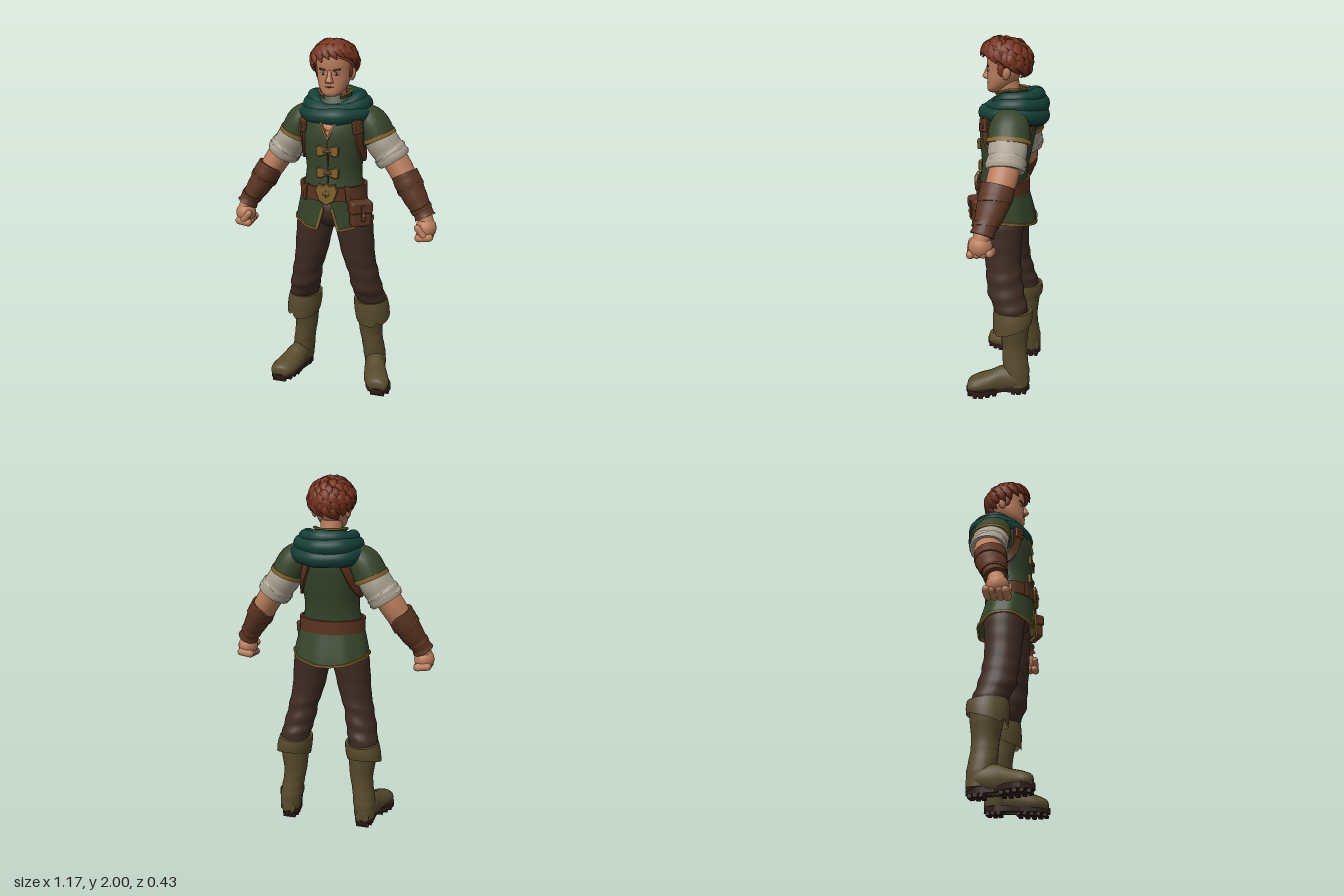
import * as THREE from 'three';
import { toCreasedNormals, mergeGeometries } from 'three/addons/utils/BufferGeometryUtils.js';
import { RoundedBoxGeometry } from 'three/addons/geometries/RoundedBoxGeometry.js';

const V = (x, y, z) => new THREE.Vector3(x, y, z);
const { sin, cos, PI, max, min, sign, round } = Math;
const mat = (name, color, side = THREE.FrontSide) => new THREE.MeshStandardMaterial({ name, color, side });

// Smooth interpolation through rows of numbers
function interp(ts, rows) {
  const c = new THREE.CubicInterpolant(new Float32Array(ts), new Float32Array(rows.flat()), rows[0].length);
  return t => Array.from(c.evaluate(min(max(t, ts[0]), ts[ts.length - 1])));
}

// Surface from a rule; u wraps round when closed
function grid(nu, nv, fn, closed = true, crease = 0.9) {
  const pos = [], idx = [], cols = closed ? nu : nu + 1;
  for (let j = 0; j <= nv; j++) for (let i = 0; i < cols; i++) pos.push(...fn(i / nu, j / nv).toArray());
  for (let j = 0; j < nv; j++) for (let i = 0; i < nu; i++) {
    const a = j * cols + i, b = j * cols + (i + 1) % cols;
    idx.push(a, b, b + cols, a, b + cols, a + cols);
  }
  const g = new THREE.BufferGeometry();
  g.setAttribute('position', new THREE.Float32BufferAttribute(pos, 3));
  g.setIndex(idx);
  return toCreasedNormals(g, crease);
}

// Loft through sections [x, y, z, rx, rz]; level keeps the rings horizontal
function loft(secs, { seg = 22, steps = 4, level = false, ref = V(0, 0, 1), ripple } = {}) {
  const last = secs.length - 1, n = last * steps, at = interp(secs.map((_, i) => i), secs);
  return grid(seg, n + 2, (u, v) => {
    const j = round(v * (n + 2)) - 1, t = min(max(j, 0), n) / steps, a = u * 2 * PI;
    const [x, y, z, rx, rz] = at(t);
    let k = j < 0 || j > n ? 0 : 1;
    if (ripple) k *= 1 + ripple(a, t);
    const T = level ? V(0, 1, 0) : V(...at(t + 0.1)).sub(V(...at(t - 0.1))).normalize();
    const W = ref.clone().addScaledVector(T, -T.dot(ref)).normalize();
    const N = T.clone().cross(W);
    return V(x, y, z).addScaledVector(N, k * rx * sin(a)).addScaledVector(W, k * rz * cos(a));
  });
}

// Flat strap along points [position, facing angle]
function ribbon(pts, w, t) {
  return grid(4, pts.length - 1, (u, v) => {
    const i = round(v * (pts.length - 1)), a = u * 2 * PI + PI / 4, [p, f] = pts[i];
    const T = pts[min(i + 1, pts.length - 1)][0].clone().sub(pts[max(i - 1, 0)][0]).normalize();
    const W = V(sin(f), 0, cos(f));
    W.addScaledVector(T, -T.dot(W)).normalize();
    return p.clone().addScaledVector(T.cross(W), sign(sin(a)) * w / 2).addScaledVector(W, sign(cos(a)) * t / 2);
  });
}

function mirror(geo) {
  const g = geo.index ? geo.toNonIndexed() : geo.clone();
  g.deleteAttribute('uv');
  g.scale(-1, 1, 1);
  for (const k of ['position', 'normal']) {
    const s = g.attributes[k].array;
    for (let i = 0; i < s.length; i += 9) for (let c = 3; c < 6; c++) [s[i + c], s[i + c + 3]] = [s[i + c + 3], s[i + c]];
  }
  return g;
}
const put = (g, x, y, z, rx = 0, ry = 0, rz = 0) => g.rotateZ(rz).rotateX(rx).rotateY(ry).translate(x, y, z);
const ball = (rx, ry, rz) => new THREE.SphereGeometry(1, 18, 12).scale(rx, ry, rz);
const box = (w, h, d, r = 0.006) => new RoundedBoxGeometry(w, h, d, 2, r);
function plate(points, depth) {
  const s = new THREE.Shape(points.map(p => new THREE.Vector2(...p)));
  return new THREE.ExtrudeGeometry(s, { depth, bevelEnabled: true, bevelSize: 0.004, bevelThickness: 0.004, bevelSegments: 1 });
}

// Torso shape: half width, half depth, centre z by height
const bodyY = [0.94, 1.02, 1.1, 1.18, 1.3, 1.42, 1.52, 1.6, 1.66, 1.71];
const bodyAt = interp(bodyY, [[0.228, 0.165, 0.015], [0.212, 0.153, 0.02], [0.195, 0.142, 0.03], [0.175, 0.133, 0.04],
  [0.156, 0.13, 0.03], [0.173, 0.145, 0.02], [0.188, 0.153, 0.012], [0.185, 0.138, 0], [0.135, 0.105, -0.01], [0.07, 0.07, -0.01]]);
function body(a, y, off = 0) {
  const [rx, rz, z] = bodyAt(y);
  return V((rx + off) * sin(a), y, z + (rz + off) * cos(a));
}
const onBody = (rows, off, n = 28) => {
  const at = interp(rows.map((_, i) => i), rows);
  return Array.from({ length: n + 1 }, (_, i) => { const [a, y] = at(i / n * (rows.length - 1)); return [body(a, y, off), a]; });
};

export function createModel() {
  const root = new THREE.Group();
  root.name = 'adventurer';
  const hair = mat('auburn hair', 0x76331e, THREE.DoubleSide), skin = mat('skin', 0xb97c5c), green = mat('green cloth', 0x36442a, THREE.DoubleSide);
  const teal = mat('teal cowl', 0x143f37), gold = mat('old gold', 0x80602a), leather = mat('brown leather', 0x5a3320);
  const pants = mat('dark trousers', 0x3e2a22), boot = mat('olive boot', 0x574a2c, THREE.DoubleSide);
  const linen = mat('linen', 0xaaa191), dark = mat('dark sole', 0x2e1d18);
  const add = (name, geo, m) => { const o = new THREE.Mesh(geo, m); o.name = name; root.add(o); };
  const pair = (name, geo, m) => { add(name + 'Left', geo, m); add(name + 'Right', mirror(geo), m); };

  // Head and face
  add('head', loft([[0, 1.703, 0.092, 0.025, 0.022], [0, 1.715, 0.082, 0.048, 0.043], [0, 1.74, 0.06, 0.07, 0.066], [0, 1.78, 0.04, 0.086, 0.086],
    [0, 1.83, 0.03, 0.092, 0.095], [0, 1.88, 0.03, 0.095, 0.098], [0, 1.93, 0.03, 0.085, 0.09], [0, 1.97, 0.03, 0.05, 0.055]], { level: true, seg: 28 }), skin);
  add('neck', loft([[0, 1.58, -0.015, 0.07, 0.065], [0, 1.67, 0, 0.06, 0.06], [0, 1.77, 0.015, 0.062, 0.06]], { level: true }), skin);
  add('nose', loft([[0, 1.774, 0.122, 0.02, 0.016], [0, 1.785, 0.126, 0.021, 0.029], [0, 1.81, 0.122, 0.013, 0.022], [0, 1.842, 0.116, 0.01, 0.013]], { level: true, seg: 12 }), skin);
  add('mouth', box(0.046, 0.006, 0.008, 0.002).translate(0, 1.754, 0.123), leather);
  pair('ear', put(ball(0.014, 0.034, 0.022), 0.096, 1.812, 0.005, -0.2, 0, -0.15), skin);
  pair('eye', put(ball(0.016, 0.008, 0.006), 0.037, 1.823, 0.115, 0, 0.3), linen);
  pair('iris', put(ball(0.0065, 0.0075, 0.003), 0.036, 1.823, 0.12), dark);
  pair('eyebrow', put(box(0.042, 0.01, 0.01, 0.004), 0.04, 1.844, 0.117, 0, 0.35, 0.18), hair);

  // Hair: scalp shell and swept locks
  const edge = p => 1.8 - cos(p) * (cos(p) > 0 ? 0.6 : 0.5);
  const scalp = (th, p, k = 1) => V(0.108 * k * sin(th) * sin(p), 1.87 + 0.108 * k * cos(th), 0.02 + 0.118 * k * sin(th) * cos(p));
  add('scalpHair', grid(32, 12, (u, v) => scalp(edge(u * 2 * PI) * (1 - v), u * 2 * PI)), hair);
  const locks = [];
  for (let i = 0; i < 96; i++) {
    const p = i * 2.39996, front = max(0, cos(p)), j = ((i * 37) % 11) / 11;
    const th = (edge(p) - 0.42) * Math.sqrt((i + 0.5) / 96), lift = 0.06 + 0.07 * j + 0.15 * front * min(1, th), sw = 0.3 + 0.35 * j;
    const pt = (d, k, s) => scalp(th + d, p + s * sw, k).toArray();
    locks.push(loft([[...pt(-0.15, 0.96, 0), 0.016, 0.01], [...pt(0.12, 1 + lift, 0.25), 0.026, 0.016],
      [...pt(0.36, 1.02 + lift, 0.6), 0.021, 0.013], [...pt(0.6, 1.0 + lift * 1.25, 1), 0.003, 0.003]], { seg: 7, steps: 3, ref: V(sin(p) * sin(th), cos(th), cos(p) * sin(th)).normalize() }));
  }
  add('hairLocks', mergeGeometries(locks), hair);
  pair('sideburn', put(ball(0.012, 0.038, 0.02), 0.09, 1.835, 0.035), hair);

  // Collar
  const collar = (u, v) => { const a = 0.55 + u * (2 * PI - 1.1), r = 0.074 + 0.016 * v; return V(r * sin(a), 1.63 + v * (0.1 - 0.03 * max(0, cos(a))), r * cos(a) - 0.005); };
  add('collar', grid(28, 3, collar, false), green);
  add('collarTrim', new THREE.TubeGeometry(new THREE.CatmullRomCurve3(Array.from({ length: 20 }, (_, i) => collar(i / 19, 1))), 48, 0.006, 6), gold);

  // Draped cowl, three overlapping folds
  const fold = (rx, rz, zc, y, dip, back, r) => grid(56, 14, (u, v) => {
    const a = u * 2 * PI, b = v * 2 * PI, f = max(0, cos(a)), k = max(0, -cos(a));
    const rr = r * (1 + 0.12 * k + 0.07 * sin(3 * a + y * 40) + 0.05 * sin(7 * a));
    return V((rx + rr * cos(b)) * sin(a), y - dip * f * f - back * k * k + rr * sin(b), zc + (rz + rr * cos(b)) * cos(a));
  });
  add('cowlLower', fold(0.168, 0.148, -0.022, 1.603, 0.006, 0.02, 0.044), teal);
  add('cowlMiddle', fold(0.15, 0.132, -0.034, 1.65, 0.03, 0.005, 0.043), teal);
  add('cowlUpper', fold(0.13, 0.113, -0.036, 1.688, 0.06, -0.005, 0.036), teal);

  // Tunic body and skirt with a front slit
  add('tunicBody', grid(36, 26, (u, v) => body(u * 2 * PI, 1.13 + 0.58 * v)), green);
  const skirt = (u, v) => {
    const s = 0.02 + 0.26 * (1 - v), a = s + u * 2 * (PI - s), hem = 0.995 - 0.022 * cos(2 * a);
    return [body(a, hem + (1.2 - hem) * v, 0.006 + 0.004 * sin(9 * a) * (1 - v)), a];
  };
  add('tunicSkirt', grid(60, 8, (u, v) => skirt(u, v)[0], false), green);
  const rim = [];
  for (let i = 6; i > 0; i--) rim.push(skirt(0, 0.1 * i));
  for (let i = 0; i <= 60; i++) rim.push(skirt(i / 60, 0.03));
  for (let i = 1; i < 7; i++) rim.push(skirt(1, 0.1 * i));
  add('skirtTrim', ribbon(rim, 0.014, 0.012), gold);
  add('frontSeam', ribbon(onBody([[0, 1.23], [0, 1.35], [0, 1.5]], 0.001), 0.008, 0.006), dark);
  add('neckOpening', grid(4, 6, (u, v) => body((u - 0.5) * 0.5 * v, 1.49 + 0.1 * v, 0.003), false), skin);
  for (const s of [-1, 1]) add('neckTrim', ribbon(onBody([[0, 1.485], [s * 0.12, 1.535], [s * 0.25, 1.59]], 0.005, 8), 0.012, 0.01), gold);
  add('neckLace', ribbon(onBody([[-0.12, 1.545], [0, 1.53], [0.12, 1.545]], 0.006, 8), 0.007, 0.006), gold);

  // Front clasps
  const bow = [[-0.06, 0.02], [-0.045, 0.028], [0, 0.01], [0.045, 0.028], [0.06, 0.02], [0.056, -0.022], [0.04, -0.025], [0, -0.01], [-0.04, -0.025], [-0.056, -0.022]];
  for (const y of [1.42, 1.3]) {
    add('clasp', put(plate(bow, 0.014), 0, y, body(0, y).z - 0.007), gold);
    add('claspToggle', put(new THREE.CapsuleGeometry(0.008, 0.03, 4, 8), 0, y, body(0, y).z + 0.012, 0, 0, PI / 2), leather);
  }

  // Belt, buckle and pouch
  add('belt', ribbon(onBody([[-PI, 1.19], [-PI / 2, 1.19], [0, 1.185], [PI / 2, 1.19], [PI, 1.19]], 0.008, 56), 0.075, 0.016), leather);
  for (const a of [-0.75, 0.62]) add('beltLoop', ribbon(onBody([[a, 1.14], [a, 1.19], [a, 1.235]], 0.017, 4), 0.024, 0.012), leather);
  add('buckle', plate([[-0.06, 0.02], [-0.045, 0.05], [-0.015, 0.042], [0, 0.056], [0.015, 0.042], [0.045, 0.05], [0.06, 0.02], [0.04, -0.035], [0, -0.06], [-0.04, -0.035]], 0.014).translate(0, 1.19, 0.178), gold);
  add('buckleBoss', put(new THREE.OctahedronGeometry(0.022).scale(1, 1, 0.5), 0, 1.19, 0.197), gold);
  add('pouch', put(box(0.115, 0.125, 0.07, 0.02), 0.18, 1.075, 0.148, 0, 0.6), leather);
  add('pouchFlap', put(box(0.125, 0.07, 0.08, 0.016), 0.18, 1.122, 0.15, 0, 0.6), leather);
  add('pouchStrap', put(box(0.024, 0.09, 0.01, 0.004), 0.205, 1.095, 0.184, 0, 0.6), leather);
  add('pouchStud', put(ball(0.01, 0.01, 0.006), 0.21, 1.085, 0.19, 0, 0.6), gold);

  // Harness straps round each armhole
  pair('harness', ribbon(onBody([[0.75, 1.64], [0.9, 1.55], [1.05, 1.45], [1.5, 1.37], [2.1, 1.41], [2.5, 1.51], [2.75, 1.62]], 0.006), 0.042, 0.014), leather);
  pair('harnessPatch', put(box(0.056, 0.07, 0.022), 0.152, 1.548, 0.118, -0.1, 0.75, 0.1), leather);
  pair('harnessBuckle', put(new THREE.TorusGeometry(0.02, 0.005, 6, 4), 0.16, 1.548, 0.127, -0.1, 0.75, PI / 4 + 0.1), gold);

  // Arms
  pair('shoulderCap', loft([[0.12, 1.625, -0.02, 0.04, 0.07], [0.19, 1.56, -0.03, 0.085, 0.105], [0.238, 1.47, -0.033, 0.094, 0.115]]), green);
  pair('shoulderTrim', loft([[0.229, 1.489, -0.033, 0.097, 0.118], [0.238, 1.468, -0.033, 0.099, 0.12]], { seg: 28 }), gold);
  pair('sleeve', loft([[0.19, 1.55, -0.03, 0.08, 0.09], [0.255, 1.45, -0.033, 0.09, 0.104], [0.29, 1.4, -0.033, 0.088, 0.098], [0.296, 1.392, -0.033, 0.097, 0.107],
    [0.307, 1.376, -0.033, 0.094, 0.103], [0.313, 1.367, -0.032, 0.098, 0.107], [0.325, 1.348, -0.032, 0.09, 0.1]], { ripple: (a, t) => 0.015 * sin(5 * a + t * 2) }), linen);
  pair('forearm', loft([[0.29, 1.41, -0.033, 0.07, 0.08], [0.36, 1.31, -0.022, 0.07, 0.08], [0.44, 1.18, 0.01, 0.06, 0.07], [0.52, 1.06, 0.05, 0.04, 0.045], [0.53, 1.02, 0.058, 0.042, 0.048]]), skin);
  pair('bracer', loft([[0.387, 1.285, -0.008, 0.072, 0.088], [0.41, 1.24, 0, 0.076, 0.09], [0.46, 1.155, 0.022, 0.065, 0.076], [0.505, 1.088, 0.043, 0.054, 0.06], [0.52, 1.06, 0.05, 0.06, 0.064]],
    { ripple: (a, t) => 0.015 * sin(t * 7) }), leather);
  for (const [x, y, z, r] of [[0.425, 1.213, 0.006, 0.078], [0.492, 1.108, 0.038, 0.06]])
    pair('bracerBand', loft([[x - 0.006, y + 0.01, z, r, r + 0.01], [x + 0.006, y - 0.01, z, r, r + 0.01]]), leather);

  // Fists
  pair('palm', put(ball(0.057, 0.06, 0.062), 0.527, 1.005, 0.058), skin);
  for (let i = 0; i < 4; i++) pair('finger', put(new THREE.CapsuleGeometry(0.023, 0.055, 4, 10), 0.524, 0.961 + 0.004 * i, 0.105 - 0.033 * i, 0, 0, PI / 2 + 0.15), skin);
  pair('thumb', put(new THREE.CapsuleGeometry(0.02, 0.05, 4, 10), 0.505, 0.995, 0.11, 0, 0, 0.7), skin);

  // Trousers
  add('trouserSeat', put(ball(0.19, 0.115, 0.128), 0, 1.075, 0.025), pants);
  pair('trouserLeg', loft([[0.21, 0.44, -0.05, 0.075, 0.085], [0.203, 0.52, -0.038, 0.085, 0.095], [0.185, 0.6, -0.008, 0.088, 0.104], [0.165, 0.7, 0.008, 0.086, 0.1],
    [0.14, 0.8, 0.018, 0.094, 0.102], [0.125, 0.9, 0.02, 0.102, 0.108], [0.11, 1, 0.02, 0.107, 0.114], [0.1, 1.1, 0.03, 0.085, 0.1]],
  { level: true, steps: 8, ripple: (a, t) => (t < 3.5 ? 0.028 : 0.008) * sin(t * 6.5 + 1.6 * sin(a + 0.6)) }), pants);

  // Boots
  pair('bootShaft', loft([[0.23, 0.05, -0.085, 0.06, 0.066], [0.224, 0.14, -0.075, 0.066, 0.075], [0.213, 0.22, -0.065, 0.064, 0.073], [0.202, 0.3, -0.06, 0.068, 0.073],
    [0.204, 0.4, -0.055, 0.08, 0.088], [0.2, 0.49, -0.05, 0.088, 0.1]], { level: true, ripple: (a, t) => (t < 2.6 ? 0.018 * sin(t * 8 + sin(a)) : 0) }), boot);
  pair('bootCuff', grid(40, 8, (u, v) => {
    const a = u * 2 * PI, notch = max(0, 1 - Math.abs(a - 0.5) * 5), low = 0.398 - 0.036 * cos(a) + 0.03 * notch;
    const k = v > 0.95 ? 0.84 : 1 + 0.05 * sin(v * PI);
    return V(0.215 - 0.018 * v + k * (0.1 - 0.006 * v) * sin(a), v > 0.95 ? 0.508 : low + (0.508 - low) * v / 0.875, -0.05 + k * 0.108 * cos(a));
  }), boot);
  pair('bootFoot', loft([[0.225, -0.145, -0.07, 0.04, 0.04], [0.232, -0.09, -0.09, 0.06, 0.065], [0.245, 0, -0.088, 0.062, 0.078], [0.265, 0.07, -0.075, 0.07, 0.062],
    [0.285, 0.14, -0.066, 0.074, 0.05], [0.297, 0.185, -0.06, 0.052, 0.036], [0.299, 0.195, -0.058, 0.025, 0.02]], { level: true }).rotateX(PI / 2), boot);
  const outline = new THREE.SplineCurve([[0.172, -0.09], [0.225, -0.153], [0.28, -0.09], [0.29, 0], [0.345, 0.07], [0.366, 0.14], [0.308, 0.204], [0.232, 0.16], [0.2, 0.05], [0.178, -0.02], [0.172, -0.09]].map(p => new THREE.Vector2(...p)));
  pair('sole', new THREE.ExtrudeGeometry(new THREE.Shape(outline.getPoints(40)), { depth: 0.03, bevelEnabled: false }).rotateX(PI / 2).translate(0, 0.048, 0), dark);
  for (const [x, z, w] of [[0.225, -0.125, 0.075], [0.227, -0.095, 0.098], [0.229, -0.065, 0.1], [0.262, 0.04, 0.11], [0.275, 0.075, 0.13], [0.29, 0.11, 0.135], [0.298, 0.145, 0.125], [0.3, 0.178, 0.08]])
    pair('tread', box(w, 0.024, 0.024, 0.003).translate(x, 0.012, z), dark);
  return root;
}
